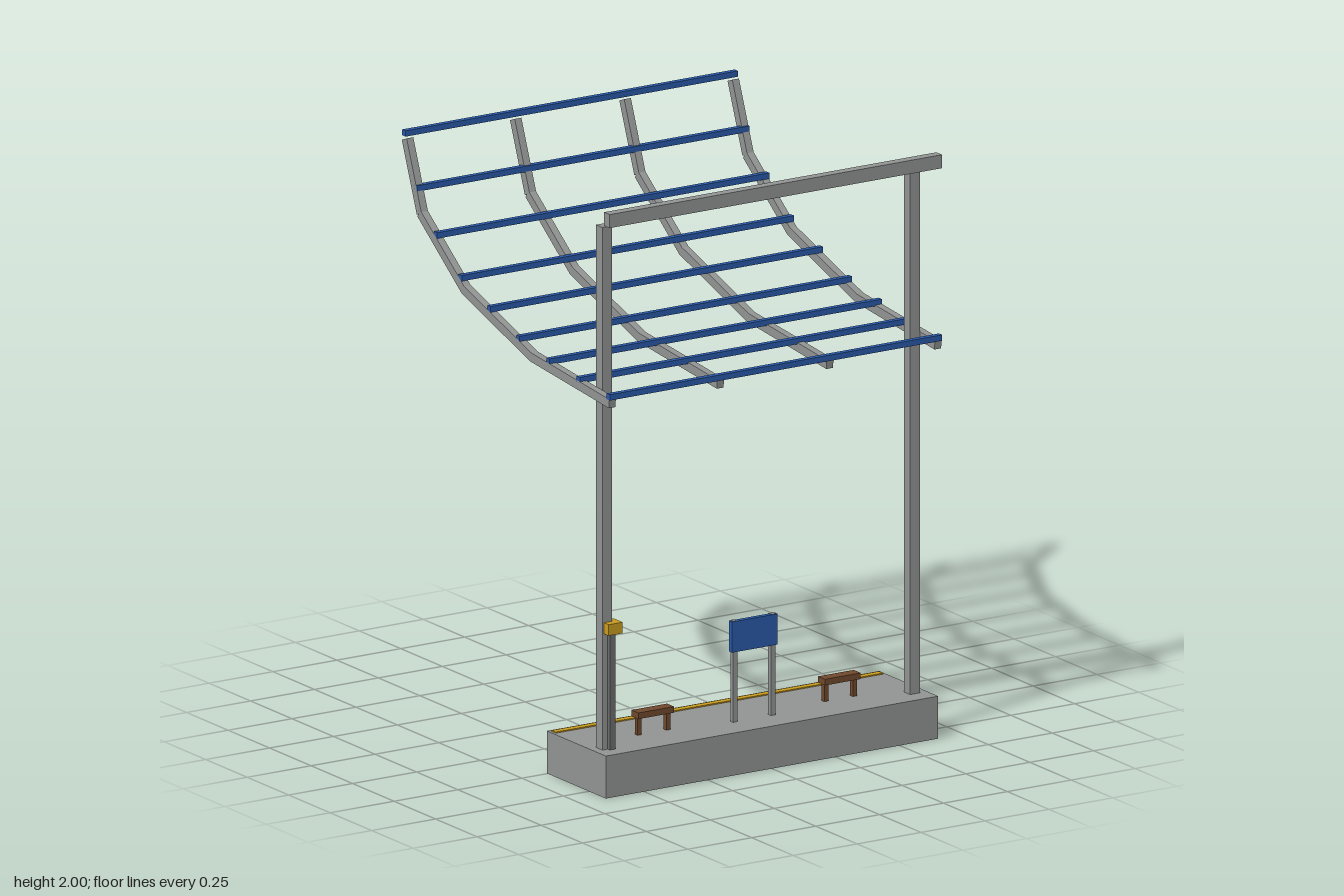
import * as THREE from 'three';

const mat = (name, color, side = THREE.FrontSide) => {
  const m = new THREE.MeshStandardMaterial({ color, side });
  m.name = name;
  return m;
};

export function createModel() {
  const model = new THREE.Group();
  model.name = 'platformShelter';

  const grey = mat('grey', 0x929594, THREE.DoubleSide);
  const darkGrey = mat('darkGrey', 0x6c6f6d);
  const blue = mat('blue', 0x2a5aa9);
  const teal = mat('teal', 0x4a95a5, THREE.DoubleSide);
  const yellow = mat('yellow', 0xc99c1f);
  const brown = mat('brown', 0x70492d);

  const box = (name, material, [w, h, d], [x, y, z], parent = model) => {
    const mesh = new THREE.Mesh(new THREE.BoxGeometry(w, h, d), material);
    mesh.name = name;
    mesh.position.set(x, y, z);
    parent.add(mesh);
    return mesh;
  };

  // Platform: hollow, open underneath
  const deck = 0.145;
  const platform = box('platform', grey, [1.3, deck, 0.355], [0, deck / 2, 0.424]);
  const index = Array.from(platform.geometry.index.array);
  index.splice(18, 6);
  platform.geometry.setIndex(index);
  platform.geometry.clearGroups();
  box('edgeStripe', yellow, [1.28, 0.004, 0.025], [0, deck + 0.002, 0.273]);

  // Tall posts and the high front beam
  for (const s of [-1, 1]) {
    box('post', grey, [0.038, 1.93 - deck, 0.038], [s * 0.602, (1.93 + deck) / 2, 0.517]);
  }
  box('topBeam', grey, [1.3, 0.046, 0.034], [0, 1.977, 0.608]);

  // Small box on its own stand beside a post
  box('boxStand', darkGrey, [0.022, 0.4, 0.022], [-0.589, deck + 0.2, 0.538]);
  box('standBox', yellow, [0.055, 0.038, 0.055], [-0.587, 0.56, 0.536]);

  // Sign board on two legs
  const sign = new THREE.Group();
  sign.name = 'sign';
  model.add(sign);
  box('signBoard', blue, [0.178, 0.105, 0.018], [0, 0.4375, 0.49], sign);
  for (const s of [-1, 1]) {
    box('signLeg', grey, [0.018, 0.346, 0.016], [s * 0.074, deck + 0.173, 0.487], sign);
  }

  // Benches
  for (const s of [-1, 1]) {
    const bench = new THREE.Group();
    bench.name = 'bench';
    bench.position.set(s * 0.365, deck, 0.445);
    model.add(bench);
    box('seat', brown, [0.14, 0.021, 0.042], [0, 0.07, 0], bench);
    for (const t of [-1, 1]) box('benchLeg', brown, [0.016, 0.06, 0.016], [t * 0.056, 0.03, 0], bench);
  }

  // Curved roof ribs made of straight segments, as [z, y] joints
  const joints = [[0.619, 1.353], [0.148, 1.398], [-0.259, 1.528], [-0.523, 1.724], [-0.613, 1.958]];
  for (const x of [-0.637, -0.214, 0.214, 0.637]) {
    const rib = new THREE.Group();
    rib.name = 'roofRib';
    model.add(rib);
    for (let i = 0; i < joints.length - 1; i++) {
      const [z0, y0] = joints[i], [z1, y1] = joints[i + 1];
      const len = Math.hypot(z1 - z0, y1 - y0) + (i < 3 ? 0.004 : 0);
      const seg = box('ribSegment', grey, [0.026, 0.031, len], [x, (y0 + y1) / 2, (z0 + z1) / 2], rib);
      seg.rotation.x = Math.atan2(y1 - y0, z0 - z1);
    }
  }

  // Purlins across the ribs, with a flat glazing strip behind each inner one
  const purlins = [[0.616, 1.375], [0.435, 1.39], [0.253, 1.409], [0.073, 1.443], [-0.102, 1.502],
    [-0.276, 1.566], [-0.424, 1.676], [-0.545, 1.807], [-0.615, 1.978]];
  purlins.forEach(([z, y], i) => {
    box('purlin', blue, [1.3, 0.02, 0.02], [0, y, z]);
    if (i === 0 || i === purlins.length - 1) return;
    const strip = new THREE.Mesh(new THREE.PlaneGeometry(1.25, 0.064), teal);
    strip.name = 'glazingStrip';
    strip.rotation.x = -Math.PI / 2;
    strip.position.set(0, y - 0.008, z - 0.026);
    model.add(strip);
  });

  return model;
}
